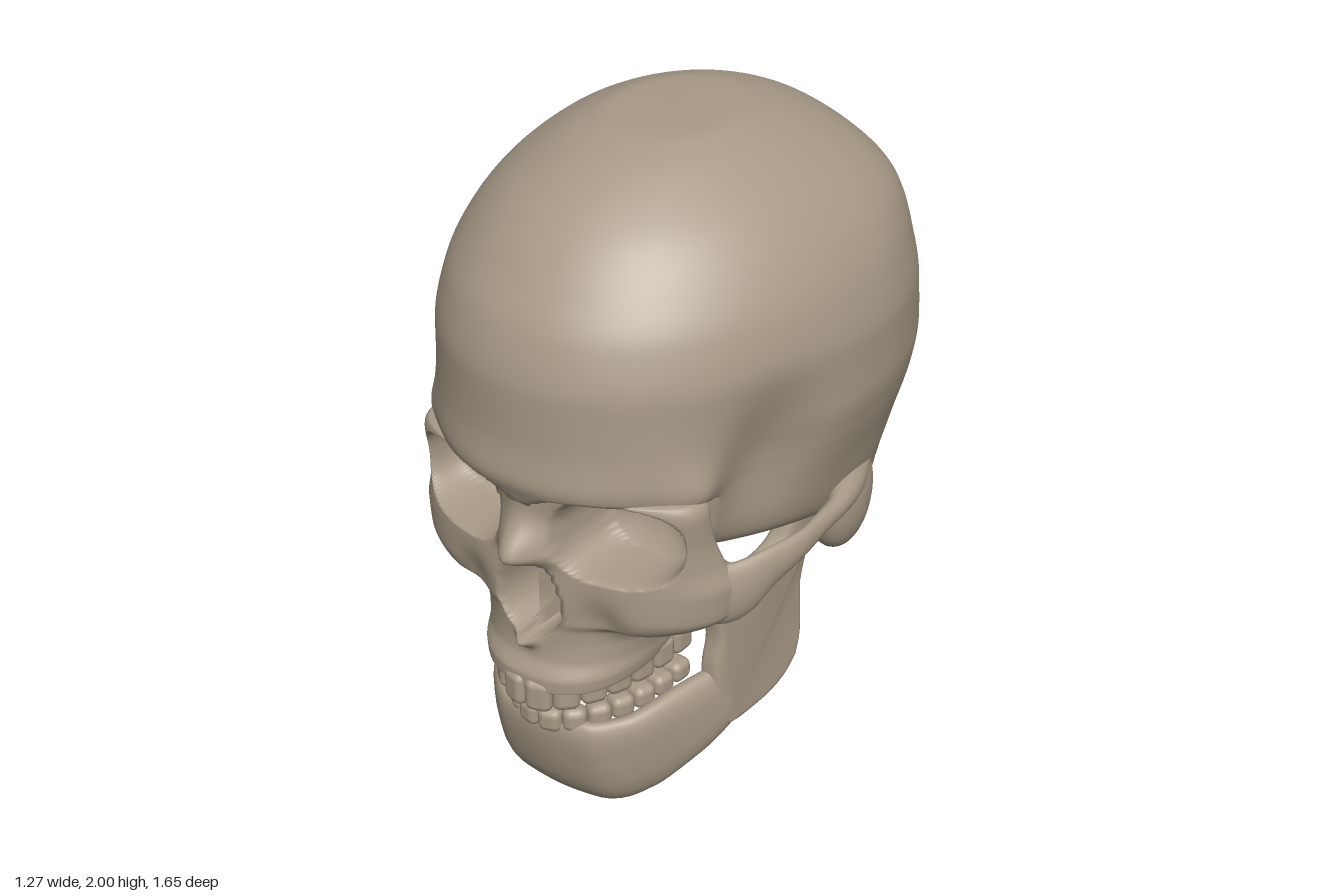
import * as THREE from 'three';
import { toCreasedNormals } from 'three/addons/utils/BufferGeometryUtils.js';
import { RoundedBoxGeometry } from 'three/addons/geometries/RoundedBoxGeometry.js';

const smooth = THREE.MathUtils.smoothstep;
const gauss = (v, s) => Math.exp(-((v / s) ** 2));
const power = (v, n) => Math.sign(v) * Math.abs(v) ** (2 / n);

// Smooth interpolation without overshoot through rows of key values, t in 0..1
function at(keys, t) {
  const last = keys.length - 1;
  const f = THREE.MathUtils.clamp(t, 0, 1) * last;
  const i = Math.min(Math.floor(f), last - 1);
  const u = f - i;
  return keys[i].map((a, c) => {
    const step = (j) => keys[j + 1][c] - keys[j][c];
    const slope = (j) => {
      if (j === 0) return step(0);
      if (j === last) return step(last - 1);
      const p = step(j - 1), q = step(j);
      return p * q > 0 ? (2 * p * q) / (p + q) : 0;
    };
    const d = step(i), m0 = slope(i), m1 = slope(i + 1);
    return a + u * m0 + u * u * (3 * d - 2 * m0 - m1) + u * u * u * (m0 + m1 - 2 * d);
  });
}

// Closed tube of rings; point(row, angle) returns a Vector3
function rings(rows, cols, point) {
  const pos = [], idx = [];
  for (let i = 0; i <= rows; i++) {
    for (let j = 0; j < cols; j++) {
      pos.push(...point(i, (j / cols) * Math.PI * 2).toArray());
      if (i === rows) continue;
      const k = (j + 1) % cols;
      const a = i * cols + j, b = i * cols + k;
      idx.push(a, b, b + cols, a, b + cols, a + cols);
    }
  }
  const g = new THREE.BufferGeometry();
  g.setAttribute('position', new THREE.Float32BufferAttribute(pos, 3));
  g.setIndex(idx);
  g.computeVertexNormals();
  return g;
}

// Horizontal slices: [y, halfWidth, zFront, zWidest, zBack, squareness of the front]
function loft(keys, perKey, cols, rule) {
  const rows = (keys.length - 1) * perKey;
  const slices = Array.from({ length: rows + 1 }, (_, i) => at(keys, i / rows));
  return rings(rows, cols, (i, a) => {
    const [y, w, zf, zc, zb, front] = slices[i];
    const n = Math.cos(a) > 0 ? front : 2;
    const c = power(Math.cos(a), n);
    const p = new THREE.Vector3(w * power(Math.sin(a), n), y, zc + c * (c > 0 ? zf - zc : zc - zb));
    rule(p);
    return p;
  });
}

// Tapered sweep along [x, y, z, radiusAcross, radiusAlongRef]
function sweep(keys, ref = [0, 1, 0], n = 2, rule = () => {}) {
  const rows = (keys.length - 1) * 8;
  const up = new THREE.Vector3(...ref);
  return rings(rows + 2, 24, (i, a) => {
    const t = THREE.MathUtils.clamp((i - 1) / rows, 0, 1);
    const k = i === 0 || i === rows + 2 ? 0 : 1;
    const [x, y, z, ra, rb] = at(keys, t);
    const before = at(keys, t - 0.01), after = at(keys, t + 0.01);
    const T = new THREE.Vector3(after[0] - before[0], after[1] - before[1], after[2] - before[2]).normalize();
    const N = up.clone().cross(T).normalize();
    const B = T.clone().cross(N);
    const p = new THREE.Vector3(x, y, z)
      .addScaledVector(N, k * ra * power(Math.cos(a), n))
      .addScaledVector(B, k * rb * power(Math.sin(a), n));
    rule(p);
    return p;
  });
}

// Copy reflected in x, with corner order put right
function mirror(geometry) {
  const g = geometry.index ? geometry.toNonIndexed() : geometry.clone();
  g.scale(-1, 1, 1);
  for (const { array } of [g.attributes.position, g.attributes.normal]) {
    for (let i = 0; i < array.length; i += 9) {
      for (let c = 3; c < 6; c++) [array[i + c], array[i + c + 3]] = [array[i + c + 3], array[i + c]];
    }
  }
  return g;
}

// Braincase: hollow temples, a brow overhanging the sockets and an opening underneath
function craniumGeometry() {
  const keys = [
    [0.66, 0, -0.36, -0.36, -0.36, 2], [0.66, 0.14, -0.22, -0.34, -0.46, 2],
    [0.69, 0.3, -0.12, -0.32, -0.53, 2], [0.75, 0.43, -0.05, -0.28, -0.65, 2],
    [0.81, 0.5, 0.04, -0.2, -0.7, 2.1], [0.86, 0.53, 0.33, -0.12, -0.725, 2.2],
    [0.93, 0.55, 0.6, -0.1, -0.75, 2.2], [1.05, 0.58, 0.72, -0.1, -0.793, 2.2],
    [1.13, 0.603, 0.76, -0.1, -0.815, 2.2], [1.19, 0.618, 0.777, -0.1, -0.827, 2.2],
    [1.3, 0.635, 0.765, -0.1, -0.823, 2.15], [1.45, 0.635, 0.763, -0.1, -0.79, 2.1],
    [1.6, 0.605, 0.725, -0.1, -0.74, 2.1], [1.72, 0.55, 0.65, -0.1, -0.685, 2.1],
    [1.83, 0.46, 0.55, -0.08, -0.59, 2.1], [1.92, 0.345, 0.42, -0.05, -0.465, 2],
    [1.97, 0.25, 0.3, -0.02, -0.34, 2], [1.995, 0.17, 0.18, 0, -0.22, 2], [2, 0, 0, 0, 0, 2],
  ];
  return loft(keys, 8, 140, (p) => {
    const x = Math.abs(p.x);
    const boss = 1 + 0.05 * gauss(p.y - 1.75, 0.16) * gauss(x - 0.36, 0.2) * gauss(p.z + 0.35, 0.25);
    const temple = 1 - 0.14 * gauss(p.z - 0.33, 0.16) * gauss(p.y - 1.2, 0.2);
    const browCorner = 1 + 0.07 * gauss(p.z - 0.55, 0.07) * gauss(p.y - 1.16, 0.09);
    p.x *= boss * temple * browCorner;
    p.z *= boss;
    const middle = gauss(x, 0.08);
    const cut = 1 - smooth(p.y, 1.125 - 0.1 * middle, 1.155 - 0.06 * middle);
    p.z = THREE.MathUtils.lerp(p.z, Math.min(p.z, 0.44), cut);
    if (p.y < 0.75) p.y += 0.08 * (1 - smooth(Math.hypot(p.x / 0.11, (p.z + 0.36) / 0.13), 0.3, 1));
  });
}

// Face: eye sockets, nose bridge, nasal opening, cheeks and palate
function faceGeometry() {
  const keys = [
    [0.47, 0, 0.5, 0.5, 0.5, 2.4], [0.47, 0.2, 0.68, 0.45, 0.33, 2.4],
    [0.485, 0.255, 0.755, 0.43, 0.27, 2.4], [0.52, 0.265, 0.755, 0.42, 0.25, 2.4],
    [0.58, 0.27, 0.73, 0.42, 0.24, 2.3], [0.64, 0.285, 0.725, 0.42, 0.24, 2.2],
    [0.69, 0.34, 0.725, 0.42, 0.26, 2.1], [0.725, 0.46, 0.725, 0.44, 0.32, 2.1],
    [0.78, 0.515, 0.725, 0.45, 0.35, 2.1], [0.86, 0.52, 0.72, 0.46, 0.37, 2.1],
    [0.94, 0.495, 0.71, 0.48, 0.39, 2.2], [1.03, 0.478, 0.7, 0.51, 0.41, 2.3],
    [1.12, 0.475, 0.71, 0.53, 0.42, 2.3], [1.16, 0.455, 0.715, 0.53, 0.42, 2.3],
    [1.19, 0, 0.53, 0.53, 0.53, 2.3],
  ];
  return loft(keys, 12, 220, (p) => {
    const x = Math.abs(p.x), y = p.y;
    if (p.z > 0.5) {
      const bridge = y > 0.95 ? gauss(y - 0.95, 0.11) : gauss(y - 0.95, 0.045);
      p.z += 0.115 * bridge * gauss(x, 0.075) + 0.03 * gauss(y - 1.13, 0.07) * gauss(x, 0.1);
      p.z += 0.05 * gauss(x, 0.03) * gauss(y - 0.64, 0.025);
      p.z -= 0.03 * gauss(x - 0.22, 0.07) * gauss(y - 0.74, 0.08);
      const dx = x - 0.27, dy = y - 1.02 - 0.04 * dx;
      const r = (Math.abs(dx / 0.178) ** 2.8 + Math.abs(dy / 0.132) ** 2.8) ** (1 / 2.8);
      p.z = THREE.MathUtils.lerp(p.z, Math.min(p.z, 0.455 + 0.07 * r * r), 1 - smooth(r, 0.85, 1));
      const t = (y - 0.65) / 0.28;
      if (t > 0 && t < 1) {
        const half = 0.112 * Math.sin(Math.PI * t ** 0.7) ** 0.6;
        const hole = (1 - smooth(x / half, 0.55, 1)) * (0.25 + 0.75 * smooth(x, 0.006, 0.025));
        p.z = THREE.MathUtils.lerp(p.z, 0.51, hole);
      }
    }
    if (y < 0.5) p.y += 0.08 * (1 - smooth(Math.hypot(x / 0.19, (p.z - 0.45) / 0.25), 0.6, 1));
    p.y += 0.05 * (1 - smooth(y, 0.5, 0.62)) * THREE.MathUtils.clamp((0.75 - p.z) / 0.45, 0, 1);
  });
}

// Upright plate of the jaw with its two prongs, drawn in (z, y)
function ramusGeometry() {
  const outline = [[0.01, 0.33], [0.06, 0.265], [0.15, 0.215], [0.29, 0.2], [0.315, 0.4], [0.3, 0.52],
    [0.32, 0.66], [0.345, 0.78], [0.325, 0.83], [0.28, 0.79], [0.22, 0.745], [0.16, 0.74], [0.1, 0.78],
    [0.06, 0.86], [0.03, 0.885], [-0.02, 0.87], [-0.035, 0.82], [-0.01, 0.72], [0, 0.6], [-0.005, 0.42], [0.01, 0.33]];
  const curve = new THREE.SplineCurve(outline.map((p) => new THREE.Vector2(...p)));
  const pts = curve.getPoints(80);
  pts.pop();
  const g = new THREE.ExtrudeGeometry(new THREE.Shape(pts), {
    depth: 0.03, bevelThickness: 0.018, bevelSize: 0.018, bevelOffset: -0.018, bevelSegments: 3,
  });
  g.rotateY(-Math.PI / 2);
  const pos = g.attributes.position;
  for (let i = 0; i < pos.count; i++) {
    const flare = 0.1 * Math.max(0, pos.getY(i) - 0.6) - 0.3 * Math.max(0, pos.getZ(i));
    pos.setX(i, pos.getX(i) + 0.445 + flare);
  }
  return toCreasedNormals(g, 1);
}

// Jaw body, a horseshoe with a receding lower edge at the chin
function jawBodyGeometry() {
  const half = [[0.13, 0.17, 0.615, 0.05, 0.17], [0.23, 0.195, 0.53, 0.045, 0.155], [0.3, 0.245, 0.38, 0.045, 0.14],
    [0.355, 0.295, 0.24, 0.035, 0.11], [0.395, 0.32, 0.13, 0.02, 0.07]];
  const other = half.map(([x, ...rest]) => [-x, ...rest]).reverse();
  return sweep([...other, [0, 0.17, 0.63, 0.05, 0.17], ...half], [0, 1, 0], 2.6, (p) => {
    const front = smooth(p.z, 0.3, 0.55);
    p.z += front * (0.23 * (p.y - 0.2) - 0.02 * (Math.max(0, 0.15 - p.y) / 0.15) ** 2);
  });
}

// Row of teeth set along half an ellipse
function toothRow(name, material, rx, rz, y, height) {
  const row = new THREE.Group();
  row.name = name;
  const arch = new THREE.EllipseCurve(0, 0.3, rx, rz, 0, Math.PI);
  const count = 14;
  const width = arch.getLength() / count;
  for (let i = 0; i < count; i++) {
    const u = (i + 0.5) / count;
    const p = arch.getPointAt(u);
    const back = Math.abs(u - 0.5) * 2;
    const size = [width * 1.06, height * (1 - 0.15 * back), 0.055 + 0.035 * back];
    const tooth = new THREE.Mesh(new RoundedBoxGeometry(...size, 2, 0.025), material);
    tooth.name = 'tooth';
    tooth.position.set(p.x, y + 0.06 * back, p.y);
    tooth.rotation.y = Math.atan2(p.x / (rx * rx), (p.y - 0.3) / (rz * rz));
    row.add(tooth);
  }
  return row;
}

export function createModel() {
  const bone = new THREE.MeshStandardMaterial({ color: 0xa89a87 });
  bone.name = 'bone';
  const model = new THREE.Group();
  model.name = 'skull';
  const add = (name, geometry) => {
    const mesh = new THREE.Mesh(geometry, bone);
    mesh.name = name;
    model.add(mesh);
  };
  const pair = (name, geometry) => {
    add('left' + name, geometry);
    add('right' + name, mirror(geometry));
  };

  add('cranium', craniumGeometry());
  add('face', faceGeometry());
  add('jawBody', jawBodyGeometry());
  pair('JawRamus', ramusGeometry());

  // Cheek arches running back above the ears
  pair('CheekArch', sweep([[0.4, 0.83, 0.54, 0.02, 0.07], [0.49, 0.83, 0.46, 0.035, 0.1], [0.553, 0.875, 0.34, 0.027, 0.065],
    [0.588, 0.905, 0.2, 0.022, 0.042], [0.583, 0.915, 0.05, 0.028, 0.034], [0.54, 0.915, -0.1, 0.05, 0.05],
    [0.495, 0.92, -0.26, 0.03, 0.03]]));

  // Bony knobs, spikes and plates of the skull base
  pair('Mastoid', new THREE.SphereGeometry(1, 28, 20).scale(0.09, 0.2, 0.13).translate(0.455, 0.815, -0.2));
  pair('Styloid', sweep([[0.4, 0.82, -0.08, 0.025, 0.025], [0.37, 0.72, -0.08, 0.018, 0.018], [0.35, 0.64, -0.09, 0.005, 0.005]], [0, 0, 1]));
  pair('Condyle', new THREE.SphereGeometry(1, 20, 14).scale(0.055, 0.05, 0.09).translate(0.13, 0.69, -0.25));
  pair('Pterygoid', sweep([[0.14, 0.9, 0.24, 0.03, 0.05], [0.14, 0.76, 0.27, 0.025, 0.045], [0.15, 0.61, 0.28, 0.02, 0.04]], [0, 0, 1]));

  model.add(toothRow('upperTeeth', bone, 0.235, 0.44, 0.455, 0.11));
  model.add(toothRow('lowerTeeth', bone, 0.23, 0.385, 0.33, 0.08));
  return model;
}
